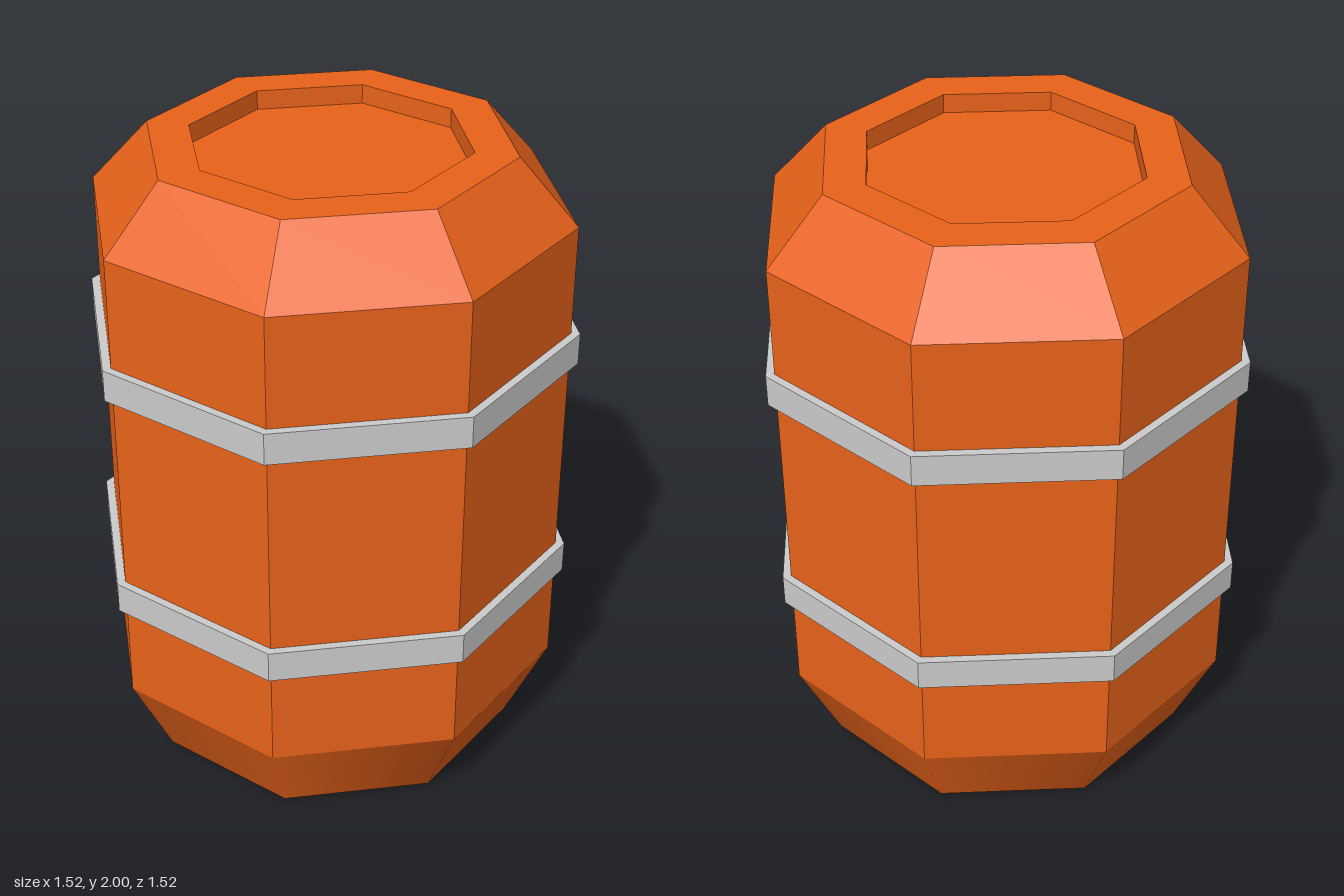
import * as THREE from 'three';

const SIDES = 8;
const ORANGE = 0xe8621a;

// Eight-sided solid of revolution from [radius, height] pairs
function turned(name, profile, material) {
  const points = profile.map(([r, y]) => new THREE.Vector2(r, y));
  const mesh = new THREE.Mesh(new THREE.LatheGeometry(points, SIDES), material);
  mesh.name = name;
  return mesh;
}

export function createModel() {
  const group = new THREE.Group();
  group.name = 'barrel';

  const flatOrange = new THREE.MeshStandardMaterial({ color: ORANGE, flatShading: true });
  const smoothOrange = new THREE.MeshStandardMaterial({ color: ORANGE });
  const grey = new THREE.MeshStandardMaterial({ color: 0xcccccc, flatShading: true });

  // Faceted wall, sloped shoulder, flat rim and sunken lid
  group.add(turned('body', [
    [0.735, 0.28], [0.735, 1.8], [0.555, 2], [0.425, 2], [0.425, 1.94], [0, 1.94],
  ], flatOrange));

  // Smooth-shaded taper at the foot
  group.add(turned('base', [[0.605, 0], [0.735, 0.28]], smoothOrange));

  // Flat underside
  const bottom = new THREE.Mesh(new THREE.CircleGeometry(0.605, SIDES), flatOrange);
  bottom.rotation.x = Math.PI / 2;
  bottom.name = 'bottom';
  group.add(bottom);

  // Two hoops around the wall
  [['lowerBand', 0.6], ['upperBand', 1.355]].forEach(([name, y]) => {
    const band = turned(name, [[0.73, 0], [0.762, 0], [0.762, 0.1], [0.73, 0.1]], grey);
    band.position.y = y;
    group.add(band);
  });

  return group;
}
